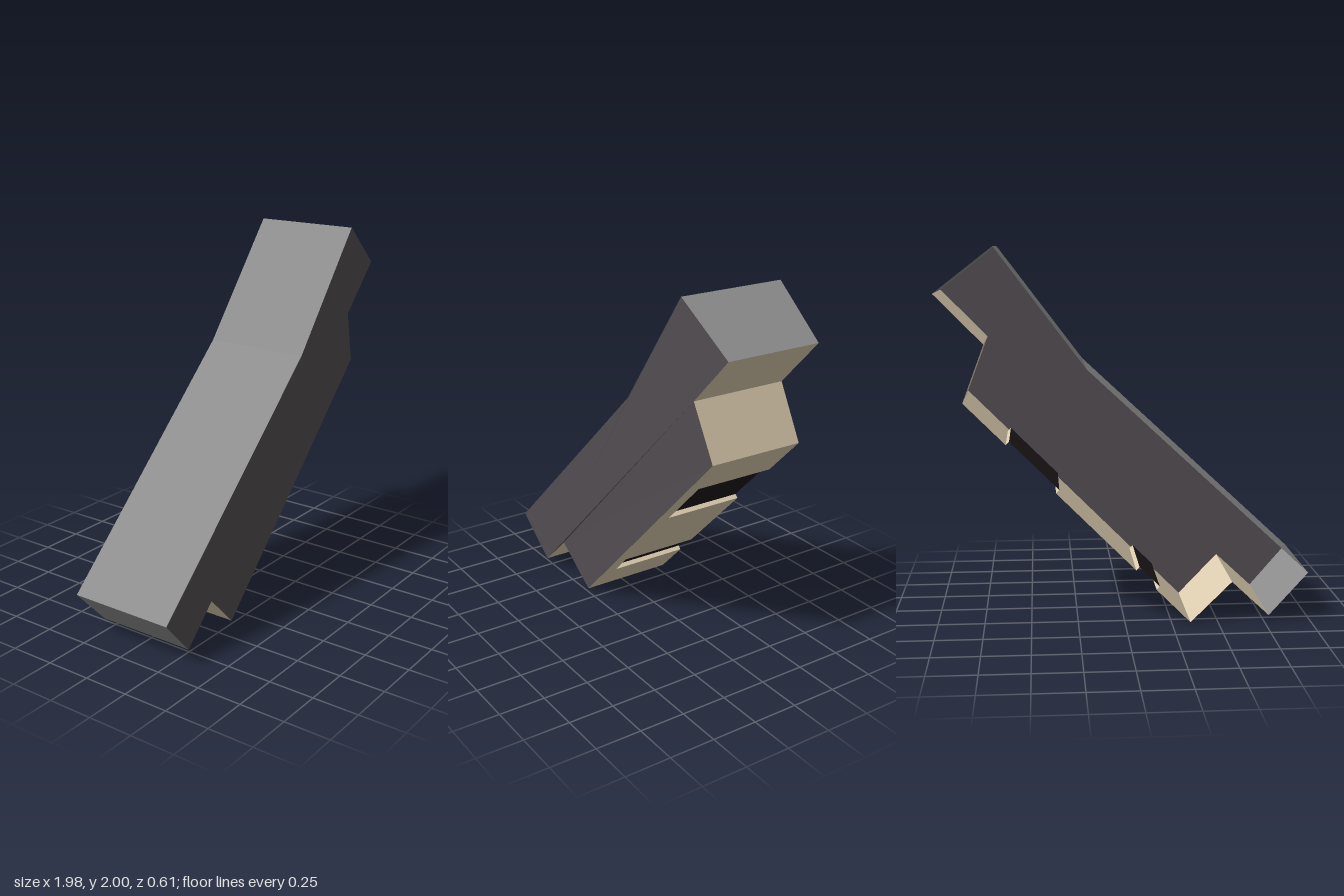
import * as THREE from 'three';

const mat = (name, color) => {
  const m = new THREE.MeshStandardMaterial({ color, side: THREE.DoubleSide });
  m.name = name;
  return m;
};

// Outline corners, clockwise from the lower left: x, y, front z, back z
const outline = {
  A: [-0.99, 0.26, 0.30, -0.295],
  I: [0.20, 1.37, 0.295, -0.30],
  H: [0.675, 2.0, 0.305, -0.285],
  G: [0.985, 1.76, 0.262, -0.272],
  F: [0.73, 1.5, 0.265, -0.272],
  E: [0.842, 1.2, 0.23, -0.305],
  D: [-0.352, 0, 0.23, -0.305],
  C: [-0.575, 0.22, 0.262, -0.305],
  B: [-0.777, 0.03, 0.268, -0.305],
};

// Flat-shaded surface from four-cornered panels
function panels(name, material, quads) {
  const pos = [];
  for (const [a, b, c, d] of quads) pos.push(...a, ...b, ...c, ...a, ...c, ...d);
  const geo = new THREE.BufferGeometry();
  geo.setAttribute('position', new THREE.Float32BufferAttribute(pos, 3));
  geo.computeVertexNormals();
  const mesh = new THREE.Mesh(geo, material);
  mesh.name = name;
  return mesh;
}

// Side wall between two outline corners, outer side facing out
function wall(keys) {
  const [p, q] = [...keys].map(k => outline[k]);
  return [
    [p[0], p[1], p[2]], [q[0], q[1], q[2]],
    [q[0], q[1], q[3]], [p[0], p[1], p[3]],
  ];
}

export function createModel() {
  const group = new THREE.Group();
  const plum = mat('dark plum', 0x544f53);
  const grey = mat('grey', 0x8e8e8e);
  const cream = mat('cream', 0xdfcfb0);
  const black = mat('near black', 0x1f1819);

  // Tilted front plate; the back of the shell is open
  const corners = Object.values(outline);
  const shape = corners.map(c => new THREE.Vector2(c[0], c[1]));
  const front = [];
  for (const tri of THREE.ShapeUtils.triangulateShape(shape, [])) {
    const [a, b, c] = tri.map(i => corners[i]);
    const ccw = (b[0] - a[0]) * (c[1] - a[1]) - (b[1] - a[1]) * (c[0] - a[0]) > 0;
    for (const v of ccw ? [a, b, c] : [a, c, b]) front.push(v[0], v[1], v[2]);
  }
  const frontGeo = new THREE.BufferGeometry();
  frontGeo.setAttribute('position', new THREE.Float32BufferAttribute(front, 3));
  frontGeo.computeVertexNormals();
  const plate = new THREE.Mesh(frontGeo, plum);
  plate.name = 'frontPlate';
  group.add(plate);

  // Upper and end walls, then the stepped walls
  group.add(panels('upperWalls', grey, ['AI', 'IH', 'HG', 'BA'].map(wall)));
  group.add(panels('steppedWalls', cream, ['GF', 'FE', 'DC', 'CB'].map(wall)));

  // Long lower wall with two recesses that open at the back edge
  const { D, E } = outline;
  const depth = 0.025;
  const at = (y, z, inset = 0) => {
    const t = y / E[1], s = inset * Math.SQRT1_2;
    return [D[0] + (E[0] - D[0]) * t - s, y + s, z];
  };
  const zFront = D[2], zSide = 0.15, zBack = D[3];
  const span = (y0, y1, z0, z1, inset) =>
    [at(y1, z0, inset), at(y0, z0, inset), at(y0, z1, inset), at(y1, z1, inset)];
  const lower = [], lips = [], floors = [];
  let y = 0;
  for (const [y0, y1] of [[0.185, 0.295], [0.72, 0.98]]) {
    lower.push(span(y, y0, zFront, zBack), span(y0, y1, zFront, zSide));
    floors.push(span(y0, y1, zSide, zBack, depth));
    lips.push(
      [at(y0, zSide), at(y0, zBack), at(y0, zBack, depth), at(y0, zSide, depth)],
      [at(y1, zBack), at(y1, zSide), at(y1, zSide, depth), at(y1, zBack, depth)],
      [at(y1, zSide), at(y0, zSide), at(y0, zSide, depth), at(y1, zSide, depth)],
    );
    y = y1;
  }
  lower.push(span(y, E[1], zFront, zBack));
  group.add(panels('lowerWall', cream, lower));
  group.add(panels('recessLips', cream, lips));
  group.add(panels('recessFloors', black, floors));
  return group;
}
